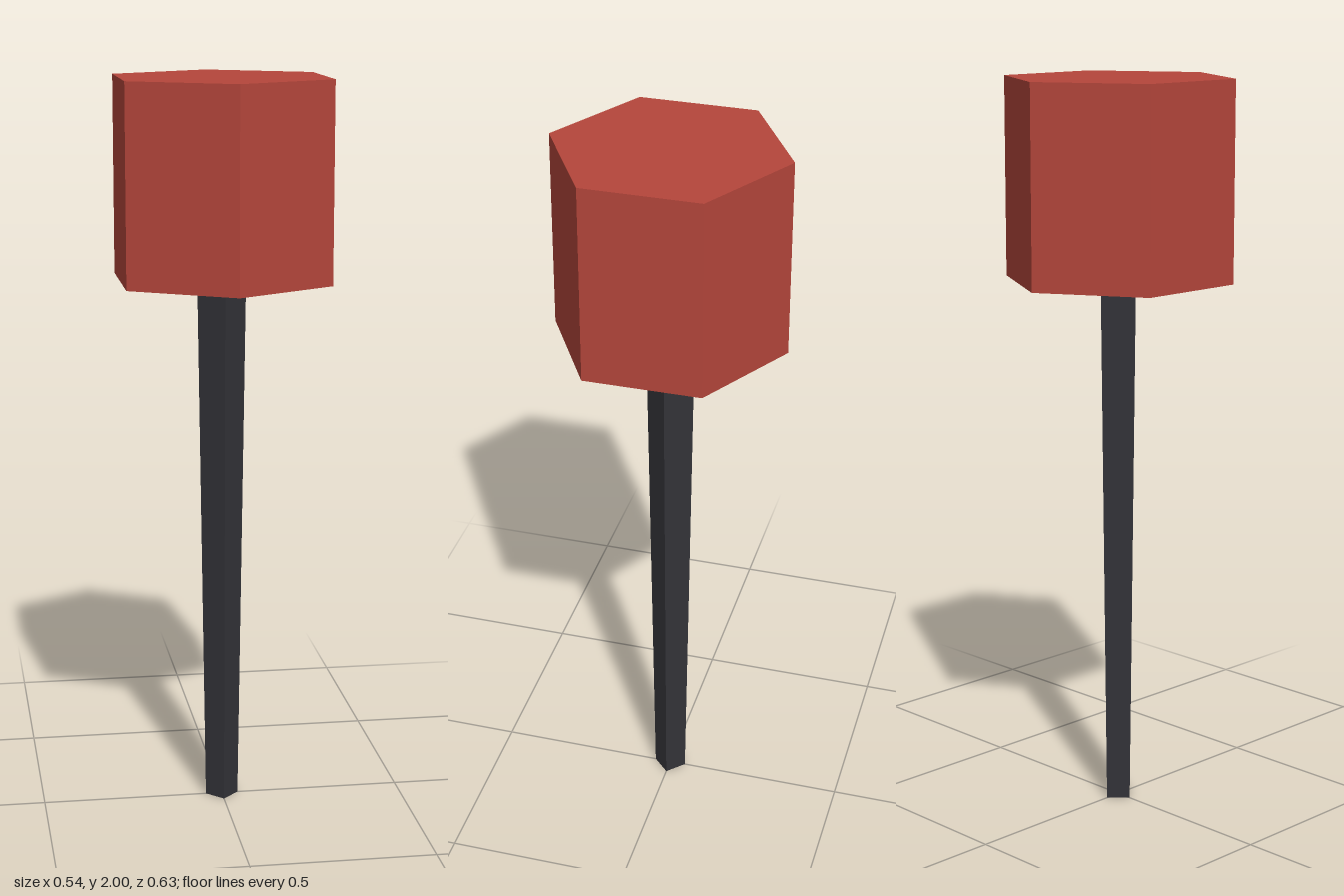
import * as THREE from 'three';

const HEAD_BOTTOM = 1.465;
const HEAD_TOP = 2;

export function createModel() {
  const model = new THREE.Group();
  model.name = 'mallet';

  const red = new THREE.MeshStandardMaterial({ color: 0xb5463b, flatShading: true });
  red.name = 'red';
  const charcoal = new THREE.MeshStandardMaterial({ color: 0x333338, flatShading: true });
  charcoal.name = 'charcoal';

  // Upright prism or taper with a corner facing the front
  function addPrism(name, material, sides, topRadius, bottomRadius, y0, y1) {
    const geometry = new THREE.CylinderGeometry(topRadius, bottomRadius, y1 - y0, sides);
    const mesh = new THREE.Mesh(geometry, material);
    mesh.name = name;
    mesh.position.y = (y0 + y1) / 2;
    model.add(mesh);
  }

  // Square handle, narrowing towards the foot
  addPrism('handle', charcoal, 4, 0.066, 0.045, 0, HEAD_BOTTOM);

  // Hexagonal head
  addPrism('head', red, 6, 0.314, 0.314, HEAD_BOTTOM, HEAD_TOP);

  return model;
}
